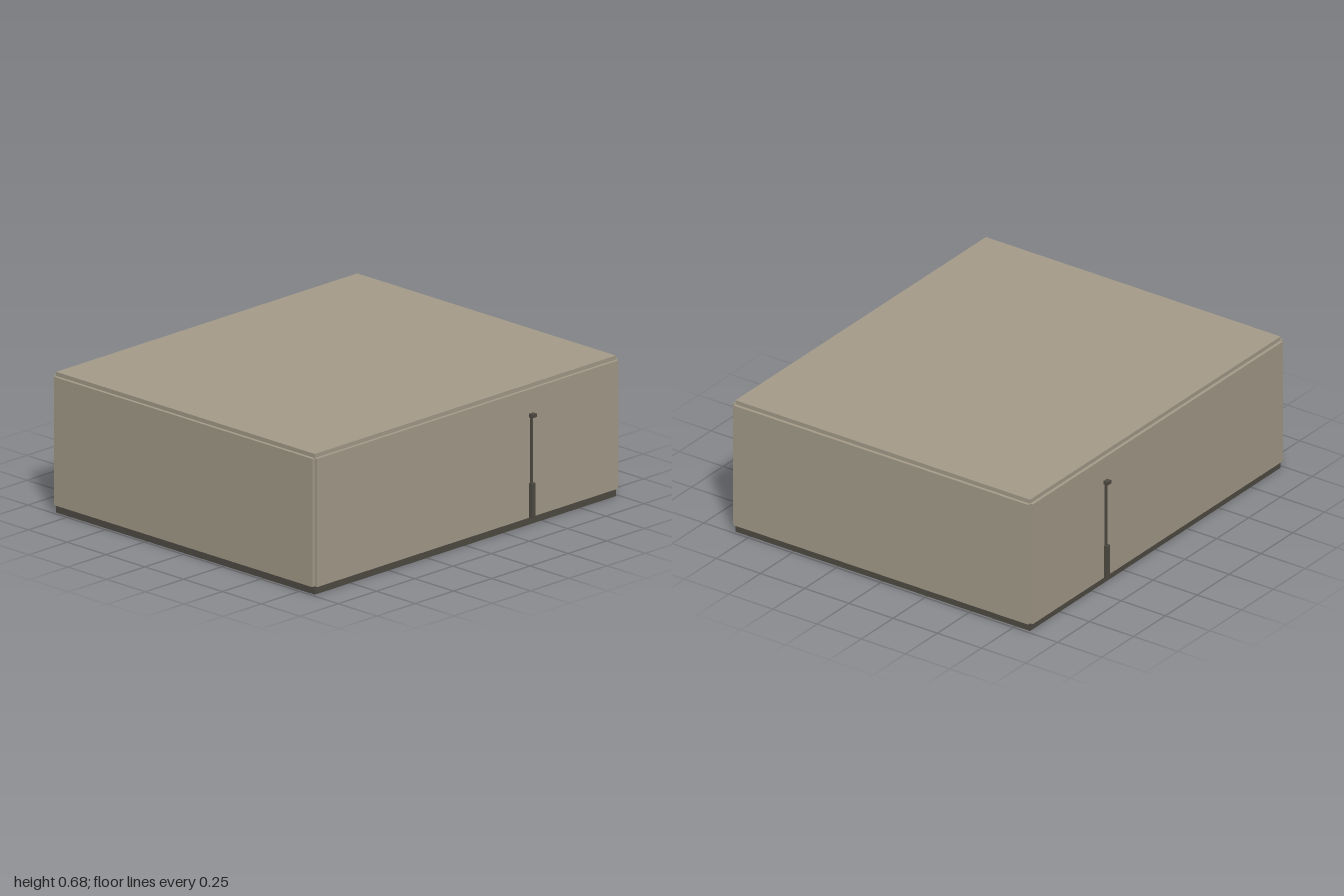
import * as THREE from 'three';

export function createModel() {
  const model = new THREE.Group();
  model.name = 'panelledBox';

  const mat = (name, color) => {
    const m = new THREE.MeshStandardMaterial({ color });
    m.name = name;
    return m;
  };
  const beige = mat('warm beige', 0xa59c8a);
  const dark = mat('dark brown grey', 0x504b43);

  // Box given by its extents on each axis
  const addBox = (name, material, [x0, x1], [y0, y1], [z0, z1], parent = model) => {
    const mesh = new THREE.Mesh(new THREE.BoxGeometry(x1 - x0, y1 - y0, z1 - z0), material);
    mesh.position.set((x0 + x1) / 2, (y0 + y1) / 2, (z0 + z1) / 2);
    mesh.name = name;
    parent.add(mesh);
  };

  const X = 0.833, Z = 0.984;        // core half sizes
  const outerX = 0.848, outerZ = 1;  // faces of the cladding panels
  const y0 = 0.04, y1 = 0.662, top = 0.682;

  // Base plinth and core, with the roof as the core's raised top
  addBox('base', dark, [-X, X], [0, y0], [-Z, Z]);
  addBox('core', beige, [-X, X], [y0, top], [-Z, Z]);

  // Cladding panels, leaving notched corners
  addBox('frontPanel', beige, [-X, X], [y0, y1], [Z, outerZ]);
  addBox('backPanel', beige, [-X, X], [y0, y1], [-outerZ, -Z]);
  addBox('leftPanel', beige, [X, outerX], [y0, y1], [-Z, Z]);
  addBox('rightPanel', beige, [-outerX, -X], [y0, y1], [-Z, Z]);

  // A slim post with a thick foot and a small head on each side
  for (const [side, s] of [['left', 1], ['right', -1]]) {
    const post = new THREE.Group();
    post.name = side + 'Post';
    const span = (reach) => (s > 0 ? [X, reach] : [-reach, -X]);
    const zc = -0.414;
    const part = (name, reach, ys, half) =>
      addBox(name, dark, span(reach), ys, [zc - half, zc + half], post);
    part('postFoot', 0.866, [y0, 0.208], 0.011);
    part('postRod', 0.857, [0.208, 0.528], 0.0045);
    part('postHead', 0.872, [0.528, 0.545], 0.014);
    model.add(post);
  }

  return model;
}
